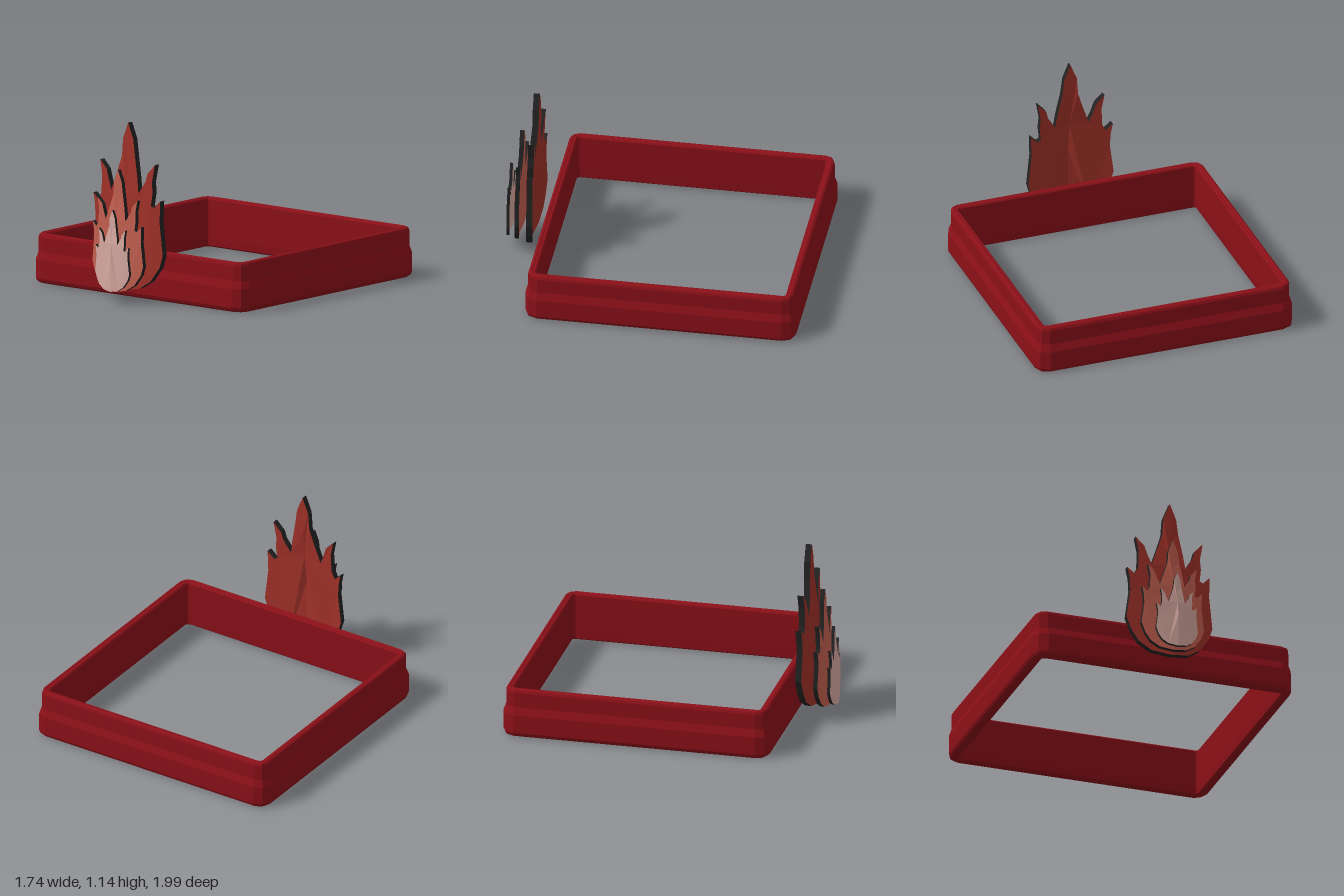
import * as THREE from 'three';

const mat = (color) => new THREE.MeshStandardMaterial({ color, flatShading: true });

function mesh(name, positions, index, material) {
  const g = new THREE.BufferGeometry();
  g.setAttribute('position', new THREE.Float32BufferAttribute(positions, 3));
  if (index) g.setIndex(index);
  g.computeVertexNormals();
  const m = new THREE.Mesh(g, material);
  m.name = name;
  return m;
}

// Square moulding: a closed cross-section (distance from centre, height) swept round bevelled corners
function makeFrame() {
  const profile = [
    [0.815, 0], [0.845, 0], [0.862, 0.012], [0.87, 0.03], [0.87, 0.15], [0.852, 0.2], [0.852, 0.295],
    [0.846, 0.312], [0.832, 0.32], [0.822, 0.315], [0.808, 0.315], [0.8, 0.305], [0.8, 0.06], [0.803, 0.01],
  ];
  const core = 0.785, n = profile.length, pos = [], idx = [];
  const corners = [[1, 1], [-1, 1], [-1, -1], [1, -1]];
  corners.forEach(([sx, sz], c) => {
    for (let k = 0; k < 3; k++) {
      const a = (c + k / 2) * Math.PI / 2;
      for (const [r, y] of profile) {
        pos.push(sx * core + Math.cos(a) * (r - core), y, sz * core + Math.sin(a) * (r - core));
      }
    }
  });
  for (let i = 0; i < 12; i++) {
    for (let j = 0; j < n; j++) {
      const i2 = (i + 1) % 12, j2 = (j + 1) % n;
      const a = i * n + j, b = i * n + j2, c = i2 * n + j2, d = i2 * n + j;
      idx.push(a, b, c, a, c, d);
    }
  }
  const frame = mesh('frame', pos, idx, mat(0x8b1018));
  frame.position.z = -0.127;
  return frame;
}

// Flame outline, right half from tip to base and left half from base to tip
const TIP = [0, 1.14], BASE = [0, 0.065];
const RIGHT = [
  [0.042, 1.037], [0.056, 0.93], [0.084, 0.79], [0.098, 0.696], [0.15, 0.78], [0.163, 0.83], [0.22, 0.892],
  [0.2, 0.78], [0.206, 0.71], [0.196, 0.626], [0.22, 0.617], [0.266, 0.664], [0.262, 0.523], [0.285, 0.313],
  [0.262, 0.234], [0.196, 0.14], [0.117, 0.089],
];
const LEFT = [
  [-0.13, 0.089], [-0.21, 0.145], [-0.257, 0.22], [-0.29, 0.313], [-0.266, 0.5], [-0.27, 0.584],
  [-0.285, 0.659], [-0.238, 0.617], [-0.215, 0.664], [-0.21, 0.78], [-0.229, 0.878], [-0.173, 0.822],
  [-0.15, 0.752], [-0.126, 0.696], [-0.084, 0.818], [-0.051, 0.92], [-0.042, 1.037],
];
const SPINE = [[0, 0.3], [0, 0.5], [0, 0.7], [0, 0.88]];
const THICK = 0.04;

// The sheet swells forward along its middle and flattens towards sides and tip
const bulge = ([x, y]) =>
  0.05 * Math.max(0, 1 - Math.abs(x) / 0.29) * THREE.MathUtils.clamp((0.9 - y) / 0.4, 0, 1);
const back = (p) => [p[0], p[1], bulge(p)];
const front = (p) => [p[0], p[1], bulge(p) + THICK];

function makeFlame(name, color, scale, x, y, z) {
  // Front and back sheets, each half folded along the spine
  const faces = [];
  const halves = [
    [TIP, ...RIGHT, BASE, ...SPINE],
    [BASE, ...LEFT, TIP, ...[...SPINE].reverse()],
  ];
  for (const half of halves) {
    const contour = half.map((p) => new THREE.Vector2(...p));
    for (const tri of THREE.ShapeUtils.triangulateShape(contour, [])) {
      const area = THREE.ShapeUtils.area(tri.map((i) => contour[i]));
      const [a, b, c] = (area > 0 ? tri : [...tri].reverse()).map((i) => half[i]);
      faces.push(...front(a), ...front(b), ...front(c), ...back(c), ...back(b), ...back(a));
    }
  }

  // Dark rim following the outline
  const rim = [], outline = [TIP, ...RIGHT, BASE, ...LEFT];
  outline.forEach((a, i) => {
    const b = outline[(i + 1) % outline.length];
    rim.push(...front(a), ...front(b), ...back(b), ...front(a), ...back(b), ...back(a));
  });

  const flame = new THREE.Group();
  flame.name = name;
  flame.add(mesh(name + 'Face', faces, null, mat(color)), mesh(name + 'Rim', rim, null, mat(0x222222)));
  flame.scale.setScalar(scale);
  flame.position.set(x, y, z);
  return flame;
}

export function createModel() {
  const model = new THREE.Group();
  model.name = 'flameFrame';
  model.add(
    makeFrame(),
    makeFlame('outerFlame', 0xa23229, 1, 0, 0, 0.78),
    makeFlame('middleFlame', 0xc46050, 0.727, -0.01, 0.018, 0.88),
    makeFlame('innerFlame', 0xd8aaa2, 0.486, -0.004, 0.043, 0.953),
  );
  return model;
}
